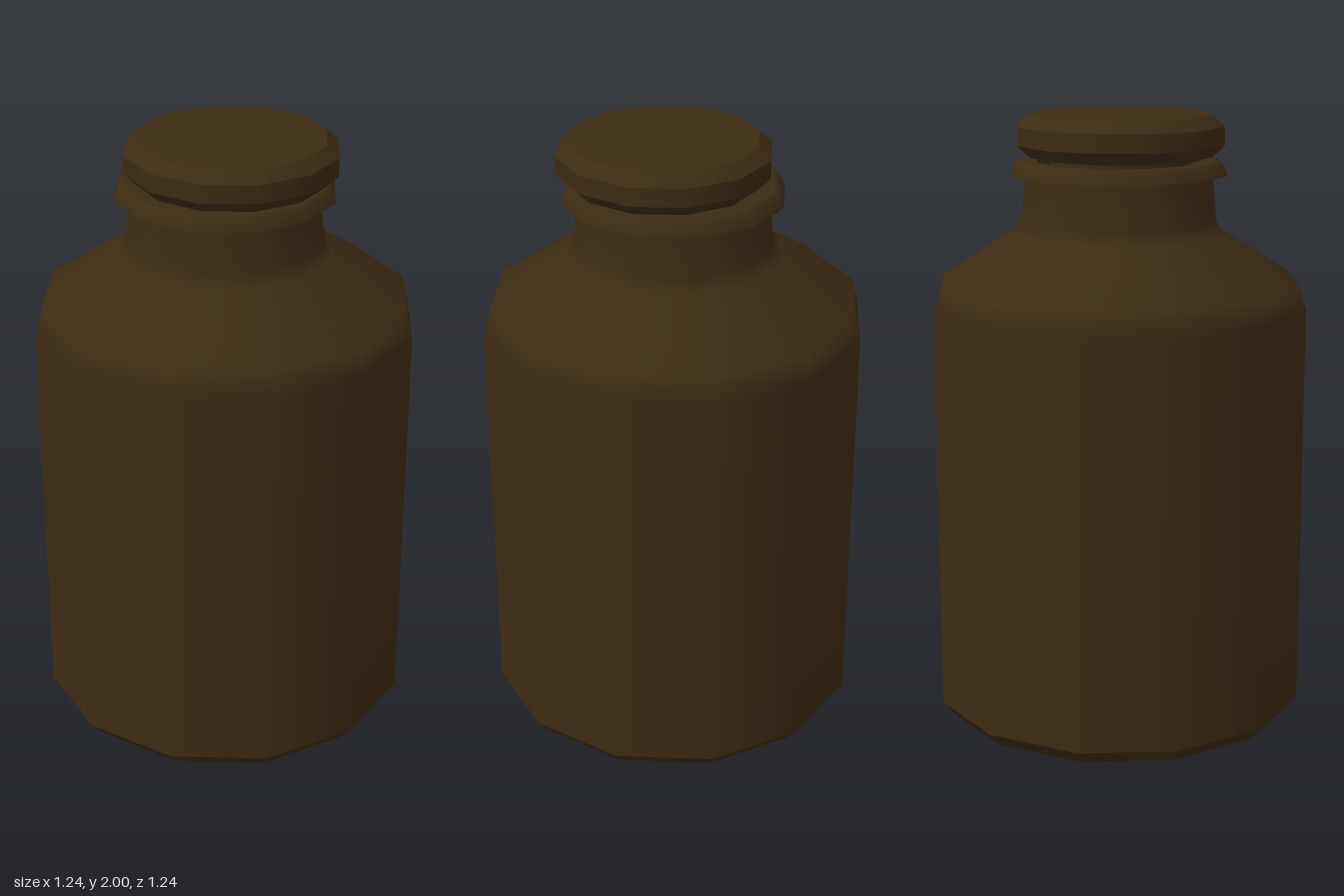
import * as THREE from 'three';

const SIDES = 12;
const glass = new THREE.MeshStandardMaterial({ color: 0x3d2b12, side: THREE.DoubleSide });

// Revolves each strip of [radius, y] points separately: smooth inside a strip, sharp between strips.
function turned(name, strips) {
  const group = new THREE.Group();
  group.name = name;
  for (const [part, points] of Object.entries(strips)) {
    const profile = points.map(([r, y]) => new THREE.Vector2(r, y));
    const mesh = new THREE.Mesh(new THREE.LatheGeometry(profile, SIDES), glass);
    mesh.name = part;
    group.add(mesh);
  }
  return group;
}

export function createModel() {
  const model = new THREE.Group();
  model.name = 'stopperedBottle';

  // Bottle: flat base, chamfer, body running up into the neck, flared lip
  const bottle = turned('bottle', {
    base: [[0, 0], [0.585, 0]],
    baseChamfer: [[0.585, 0], [0.622, 0.045]],
    body: [[0.622, 0.045], [0.622, 1.38], [0.6, 1.46], [0.35, 1.62], [0.325, 1.66], [0.312, 1.81]],
    lipUnderside: [[0.312, 1.81], [0.36, 1.81]],
    lipEdge: [[0.36, 1.81], [0.35, 1.84], [0.33, 1.853]],
    lipTop: [[0.33, 1.853], [0.27, 1.853]],
    mouth: [[0.27, 1.853], [0.265, 1.7]],
  });

  // Stopper: plug in the mouth with a bevelled cap, seated slightly forward
  const stopper = turned('stopper', {
    plugBottom: [[0, 1.72], [0.235, 1.72]],
    plug: [[0.235, 1.72], [0.235, 1.866]],
    capUnderside: [[0.235, 1.866], [0.305, 1.866]],
    capLowerBevel: [[0.305, 1.866], [0.345, 1.905]],
    capRim: [[0.345, 1.905], [0.345, 1.965]],
    capUpperBevel: [[0.345, 1.965], [0.305, 2]],
    capTop: [[0.305, 2], [0, 2]],
  });
  stopper.position.z = 0.03;

  model.add(bottle, stopper);
  return model;
}
